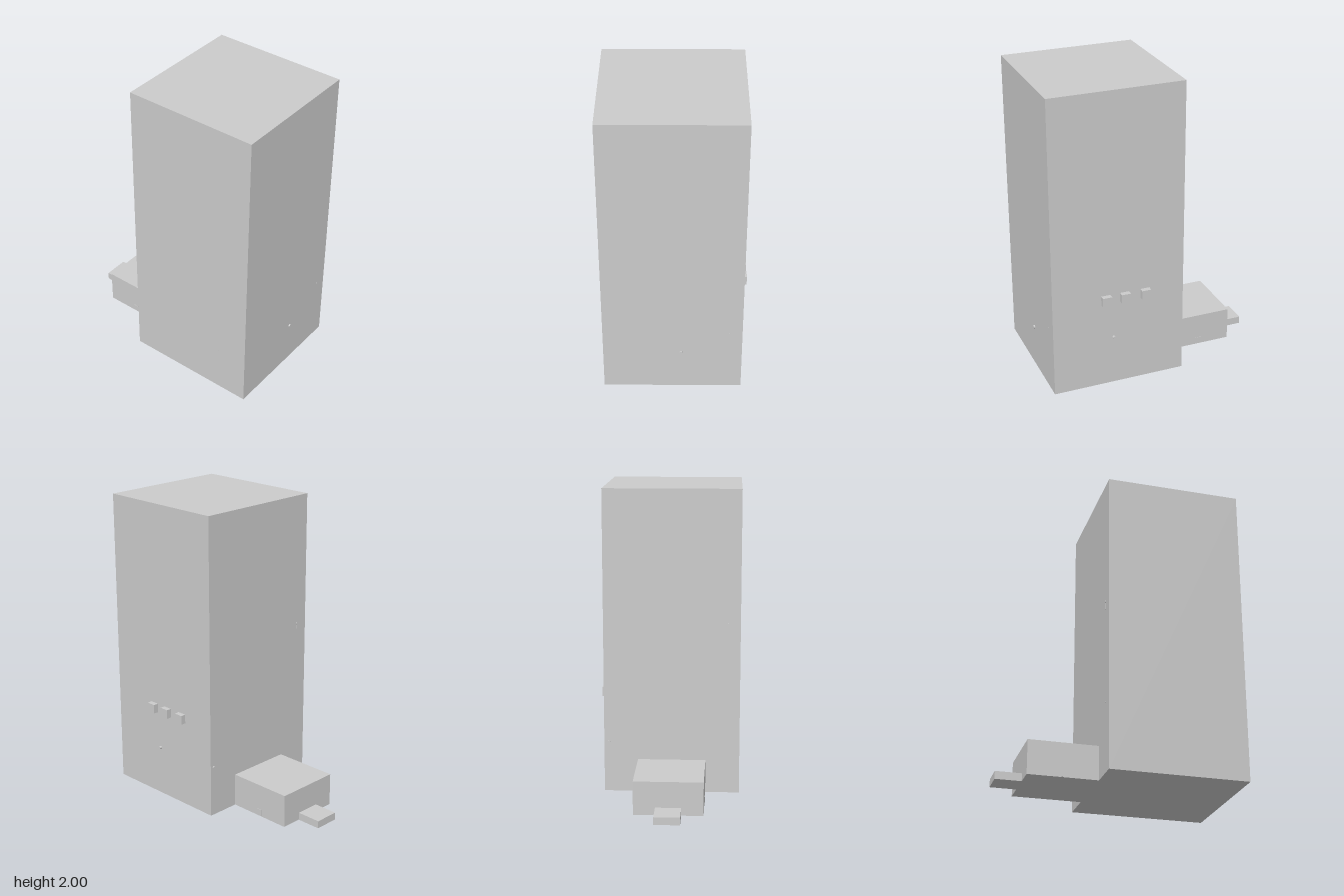
import * as THREE from 'three';

const material = new THREE.MeshStandardMaterial({ color: 0xcccccc, flatShading: true });

export function createModel() {
  const model = new THREE.Group();

  const add = (name, geometry, x, y, z) => {
    const mesh = new THREE.Mesh(geometry, material);
    mesh.name = name;
    mesh.position.set(x, y, z);
    model.add(mesh);
    return mesh;
  };

  // Box given by its limits on each axis
  const block = (name, [x0, x1], [y0, y1], [z0, z1]) =>
    add(name, new THREE.BoxGeometry(x1 - x0, y1 - y0, z1 - z0),
      (x0 + x1) / 2, (y0 + y1) / 2, (z0 + z1) / 2);

  // Short round stud, its axis along x or z
  const stud = (name, radius, length, axis, x, y, z) => {
    const geometry = new THREE.CylinderGeometry(radius, radius, length, 12);
    if (axis === 'x') geometry.rotateZ(Math.PI / 2);
    else geometry.rotateX(Math.PI / 2);
    return add(name, geometry, x, y, z);
  };

  // Main tower, rear annex and low doorstep
  block('tower', [-0.462, 0.426], [0, 2], [-0.143, 0.743]);
  block('rearAnnex', [-0.24, 0.204], [0, 0.22], [-0.587, -0.143]);
  block('rearStep', [-0.1, 0.065], [0, 0.05], [-0.753, -0.587]);

  // Row of three blocks on the left side
  for (const z of [0.123, 0.261, 0.388]) {
    block('sideBlock', [0.426, 0.46], [0.585, 0.646], [z - 0.031, z + 0.031]);
  }

  // Small studs on the walls
  stud('sideStud', 0.01, 0.016, 'x', 0.434, 0.336, 0.336);
  stud('frontStud', 0.011, 0.01, 'z', 0.038, 0.29, 0.748);
  stud('rearStud', 0.011, 0.006, 'z', 0.398, 0.337, -0.145);

  // Tiny pins
  stud('frontPin', 0.004, 0.004, 'z', 0.345, 0.452, 0.744);
  stud('rearPin', 0.004, 0.004, 'z', -0.385, 0.45, -0.144);
  stud('sidePin', 0.004, 0.002, 'x', -0.462, 0.315, 0.53);

  // Upright catch with a round head on the rear wall
  block('catchStem', [-0.387, -0.377], [1.083, 1.13], [-0.147, -0.143]);
  stud('catchHead', 0.009, 0.005, 'z', -0.382, 1.134, -0.1455);

  // Small hatches low on both sides of the annex
  for (const x of [-0.24, 0.204]) {
    block('annexHatch', [x - 0.002, x + 0.002], [0.005, 0.048], [-0.388, -0.345]);
  }

  return model;
}
